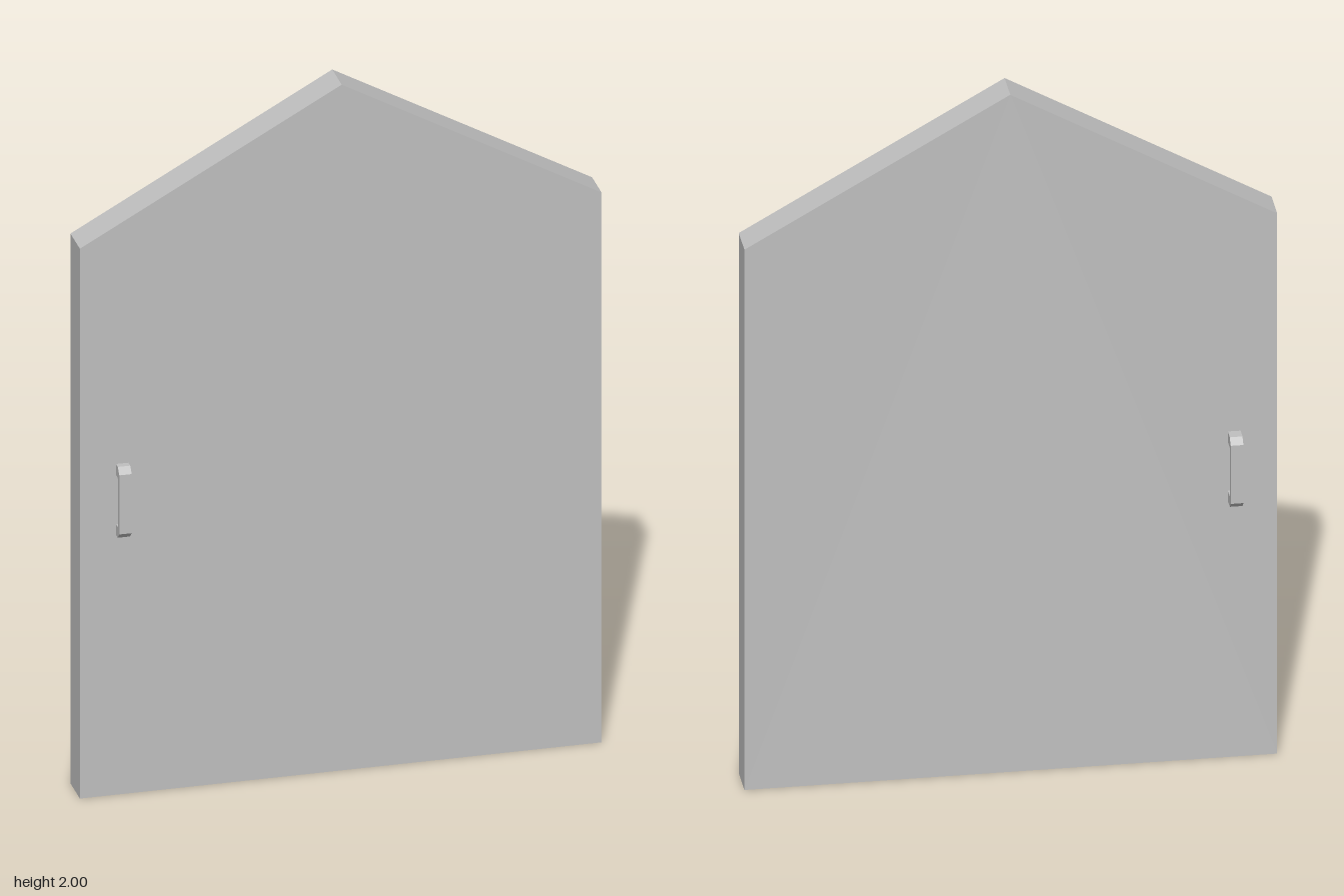
import * as THREE from 'three';

const grey = new THREE.MeshStandardMaterial({ color: 0xc0c0c0 });
grey.name = 'plain grey';

const FRONT = 0.056, BACK = -0.044, HALF = 0.713;

// Gabled slab whose peak leans slightly forward; faces fan out from the peak
function slabGeometry() {
  const outline = [[0, 2, 0.01], [-HALF, 1.6, 0], [-HALF, 0, 0], [HALF, 0, 0], [HALF, 1.6, 0]];
  const front = outline.map(([x, y, lean]) => [x, y, FRONT + lean]);
  const back = outline.map(([x, y, lean]) => [x, y, BACK + lean]);
  const positions = [];
  const tri = (...corners) => corners.forEach((c) => positions.push(...c));
  for (let i = 1; i < 4; i++) {
    tri(front[0], front[i], front[i + 1]);
    tri(back[0], back[i + 1], back[i]);
  }
  for (let i = 0; i < 5; i++) {
    const j = (i + 1) % 5;
    tri(front[i], back[i], back[j]);
    tri(front[i], back[j], front[j]);
  }
  const geometry = new THREE.BufferGeometry();
  geometry.setAttribute('position', new THREE.Float32BufferAttribute(positions, 3));
  geometry.computeVertexNormals();
  return geometry;
}

// Bracket handle with bevelled outer corners, drawn in the z-y plane
function handleGeometry(root, side) {
  const width = 0.034, reach = 0.094, inner = 0.08, bevel = 0.017;
  const bottom = 0.757, top = 0.963;
  const profile = [
    [root, bottom], [reach - bevel, bottom], [reach, bottom + bevel],
    [reach, top - bevel], [reach - bevel, top], [root, top],
    [root, 0.932], [inner - 0.004, 0.932], [inner, 0.926],
    [inner, 0.794], [inner - 0.004, 0.788], [root, 0.788],
  ];
  const shape = new THREE.Shape(profile.map(([z, y]) => new THREE.Vector2(z * side, y)));
  const geometry = new THREE.ExtrudeGeometry(shape, { depth: width, bevelEnabled: false });
  geometry.translate(0, 0, -width / 2);
  geometry.rotateY(-Math.PI / 2);
  geometry.translate(-0.598, 0, 0);
  return geometry;
}

export function createModel() {
  const door = new THREE.Group();
  door.name = 'door';
  const add = (name, geometry) => {
    const mesh = new THREE.Mesh(geometry, grey);
    mesh.name = name;
    door.add(mesh);
  };
  add('doorPanel', slabGeometry());
  // Handle feet sink slightly into the panel
  add('frontHandle', handleGeometry(FRONT - 0.004, 1));
  add('backHandle', handleGeometry(-BACK - 0.004, -1));
  return door;
}
